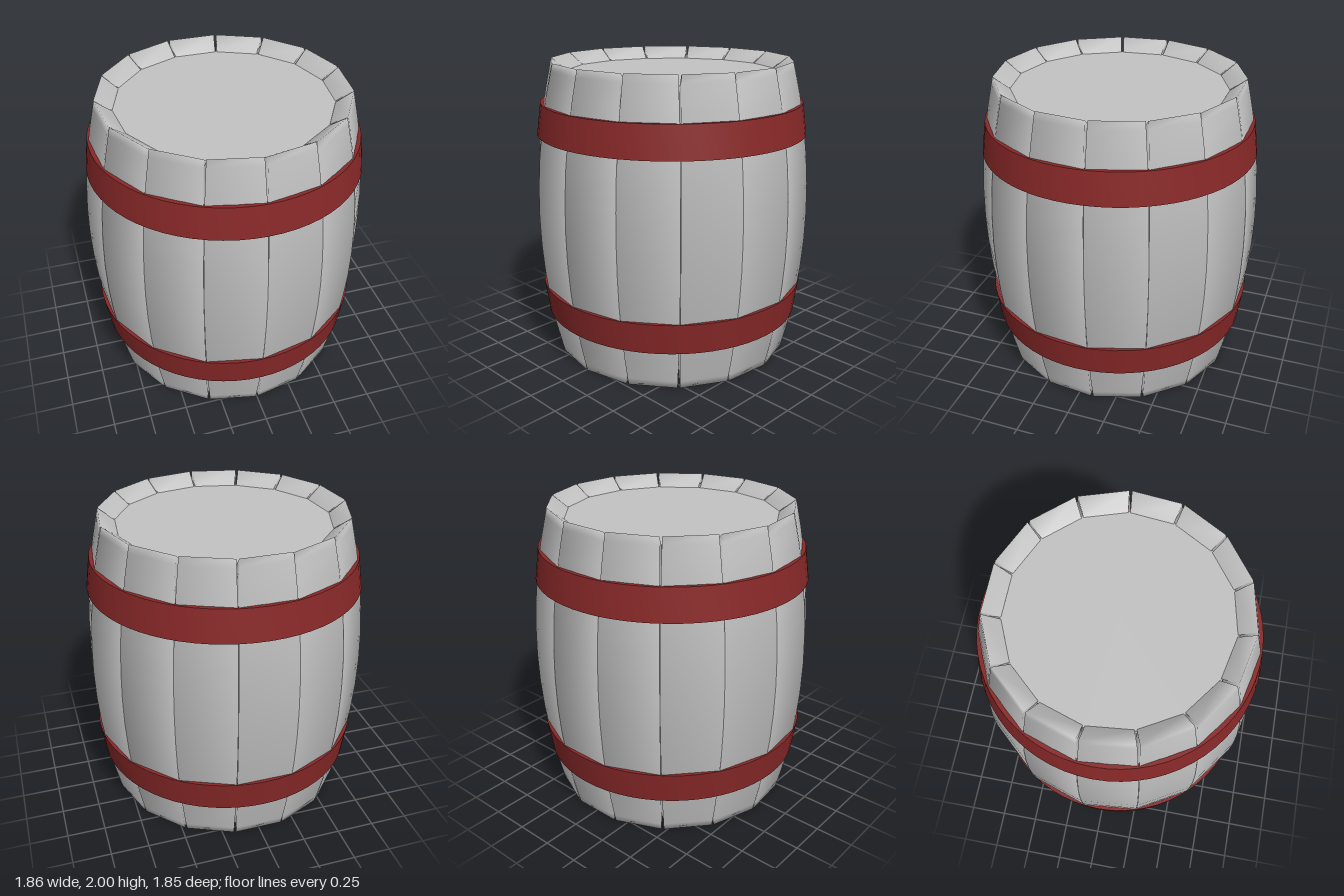
import * as THREE from 'three';
import { toCreasedNormals } from 'three/addons/utils/BufferGeometryUtils.js';

const STAVES = 15;
const STEP = (Math.PI * 2) / STAVES;
const HEAD_INSET = 0.08;
const INNER_RADIUS = 0.7;

// Bulging outer radius of the staves at height y
const bulge = (y) => 0.935 - 0.128 * (y - 1) ** 2;

// One plank: a four-cornered section swept up the bulge, with sloped ends
function staveGeometry() {
  const heights = [0, 0.05, 0.2, 0.4, 0.6, 0.8, 1, 1.2, 1.4, 1.6, 1.8, 1.95, 2];
  const positions = [];
  const index = [];
  const corner = (radius, y, angle) =>
    positions.push(radius * Math.sin(angle), y, radius * Math.cos(angle));

  heights.forEach((y, row) => {
    // The seams open slightly towards both ends
    const half = STEP / 2 - 0.001 - 0.009 * Math.abs(y - 1) ** 3;
    const innerY = THREE.MathUtils.clamp(y, HEAD_INSET - 0.03 + 0.03 * (y > 0 ? 1 : 0), 2 - HEAD_INSET);
    const outer = bulge(y);
    corner(outer, y, -half);
    corner(outer, y, half);
    corner(INNER_RADIUS, innerY, half);
    corner(INNER_RADIUS, innerY, -half);
    if (row === 0) return;
    const a = (row - 1) * 4;
    for (let j = 0; j < 4; j++) {
      const k = (j + 1) % 4;
      index.push(a + j, a + k, a + 4 + k, a + j, a + 4 + k, a + 4 + j);
    }
  });

  // End faces
  const t = (heights.length - 1) * 4;
  index.push(0, 2, 1, 0, 3, 2, t, t + 1, t + 2, t, t + 2, t + 3);

  const geometry = new THREE.BufferGeometry();
  geometry.setAttribute('position', new THREE.Float32BufferAttribute(positions, 3));
  geometry.setIndex(index);
  geometry.computeVertexNormals();
  return geometry;
}

// Tapered metal band, wide edge first
function hoopGeometry() {
  const profile = [
    [0.88, -0.105], [0.906, -0.105], [0.877, 0.105], [0.85, 0.105], [0.88, -0.105],
  ].map(([r, y]) => new THREE.Vector2(r, y));
  return toCreasedNormals(new THREE.LatheGeometry(profile, 64), 0.6);
}

export function createModel() {
  const wood = new THREE.MeshStandardMaterial({ color: 0xc2c2c2 });
  wood.name = 'pale grey wood';
  const metal = new THREE.MeshStandardMaterial({ color: 0x882828 });
  metal.name = 'dark red band';

  const barrel = new THREE.Group();
  barrel.name = 'barrel';
  const add = (geometry, material, name) => {
    const mesh = new THREE.Mesh(geometry, material);
    mesh.name = name;
    mesh.position.z = -0.01;
    barrel.add(mesh);
    return mesh;
  };

  // Ring of staves, with one seam facing the front
  const stave = staveGeometry();
  for (let i = 0; i < STAVES; i++) {
    add(stave, wood, `stave${i + 1}`).rotation.y = (i + 0.5) * STEP;
  }

  // Recessed lids closing both ends
  const lid = toCreasedNormals(new THREE.CylinderGeometry(0.712, 0.712, 0.04, STAVES), 0.3);
  add(lid, wood, 'topLid').position.y = 2 - HEAD_INSET - 0.02;
  add(lid, wood, 'bottomLid').position.y = HEAD_INSET + 0.02;

  // Two mirrored hoops
  const hoop = hoopGeometry();
  add(hoop, metal, 'upperHoop').position.y = 1.625;
  const lower = add(hoop, metal, 'lowerHoop');
  lower.position.y = 0.385;
  lower.rotation.x = Math.PI;

  return barrel;
}
